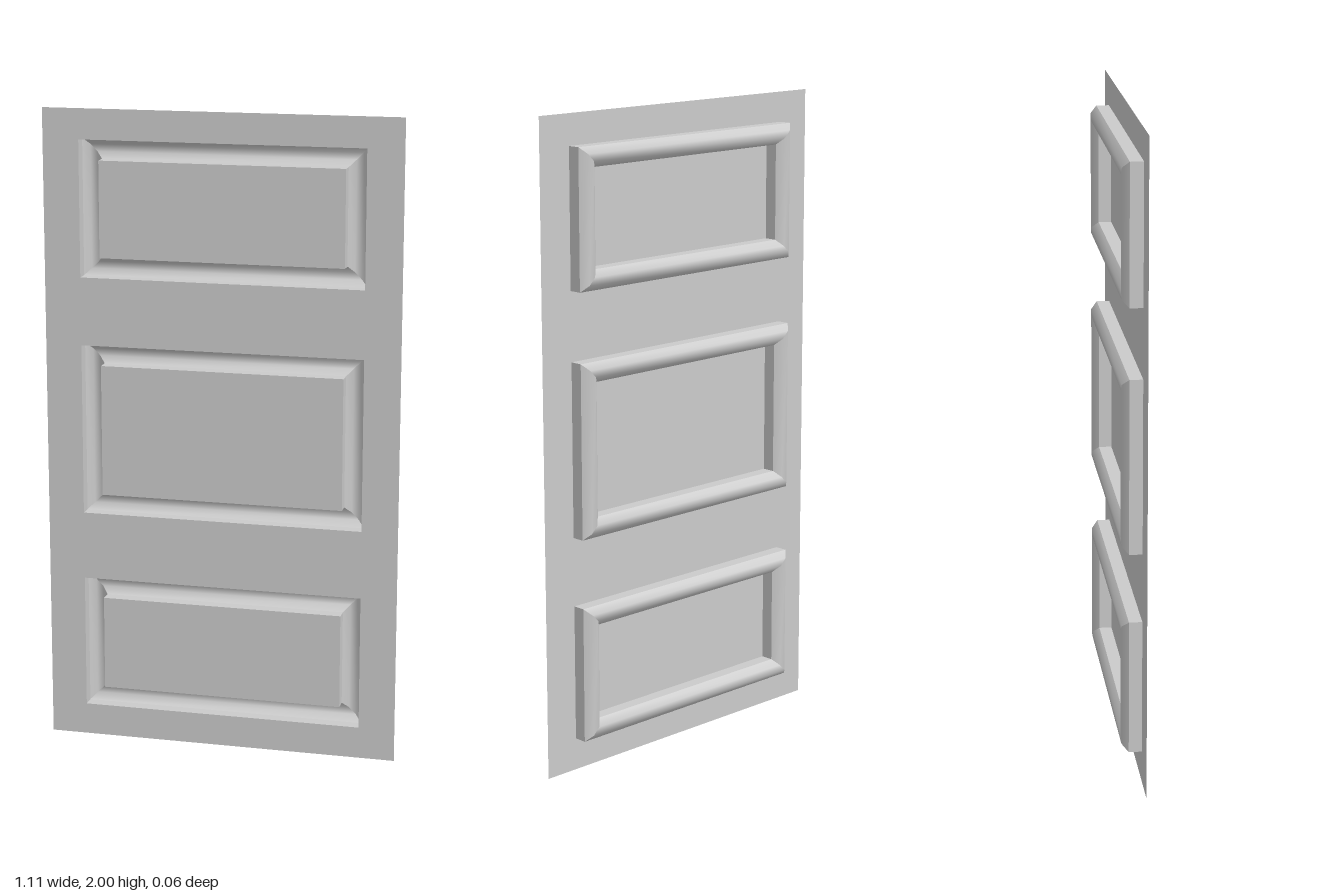
import * as THREE from 'three';
import { mergeGeometries } from 'three/addons/utils/BufferGeometryUtils.js';

const HALF_W = 0.555, HEIGHT = 2, FRONT = 0.03, OPENING = 0.442, INSET = 0.062;
const material = new THREE.MeshStandardMaterial({ color: 0xcccccc, side: THREE.DoubleSide });

// Groove cross-section as runs of [inset, z]; edges between runs stay sharp
const GROOVE_RUNS = [
  [[0, FRONT], [0, -0.01]],
  [[0, -0.01], [0.02, -0.03], [INSET - 0.02, -0.03], [INSET, -0.01]],
  [[INSET, -0.01], [INSET, FRONT]],
];

// Corners of a rectangle, anticlockwise from bottom left
function corners(w, h) {
  return [[-w, -h], [w, -h], [w, h], [-w, h]];
}

// One mitred side of the groove for one run of the cross-section
function grooveSide(run, side, w, h) {
  const positions = [], index = [];
  run.forEach(([inset, z], j) => {
    const c = corners(w - inset, h - inset);
    positions.push(...c[side], z, ...c[(side + 1) % 4], z);
    if (j > 0) {
      const a = 2 * (j - 1);
      index.push(a, a + 1, a + 3, a, a + 3, a + 2);
    }
  });
  const g = new THREE.BufferGeometry();
  g.setAttribute('position', new THREE.Float32BufferAttribute(positions, 3));
  g.setIndex(index);
  g.computeVertexNormals();
  return g;
}

function grooveGeometry(w, h) {
  const parts = [];
  for (const run of GROOVE_RUNS) {
    for (let side = 0; side < 4; side++) parts.push(grooveSide(run, side, w, h));
  }
  return mergeGeometries(parts);
}

function addMesh(parent, name, geometry, y, z) {
  const mesh = new THREE.Mesh(geometry, material);
  mesh.name = name;
  mesh.position.set(0, y, z);
  parent.add(mesh);
}

export function createModel() {
  const door = new THREE.Group();
  door.name = 'panelDoor';

  // Bottom and top of each panel opening
  const openings = [
    ['bottom', 0.1, 0.522],
    ['middle', 0.736, 1.272],
    ['top', 1.484, 1.906],
  ];

  // Thin door face with three openings
  const face = new THREE.Shape([
    new THREE.Vector2(-HALF_W, 0), new THREE.Vector2(HALF_W, 0),
    new THREE.Vector2(HALF_W, HEIGHT), new THREE.Vector2(-HALF_W, HEIGHT),
  ]);

  for (const [name, y0, y1] of openings) {
    const y = (y0 + y1) / 2, h = (y1 - y0) / 2;
    face.holes.push(new THREE.Path(
      corners(OPENING, h).reverse().map(([px, py]) => new THREE.Vector2(px, py + y))));

    // Moulded groove around a panel flush with the face
    addMesh(door, name + 'Moulding', grooveGeometry(OPENING, h), y, 0);
    addMesh(door, name + 'Panel',
      new THREE.PlaneGeometry(2 * (OPENING - INSET), 2 * (h - INSET)), y, FRONT);
  }

  addMesh(door, 'doorFace', new THREE.ShapeGeometry(face), 0, FRONT);
  return door;
}
